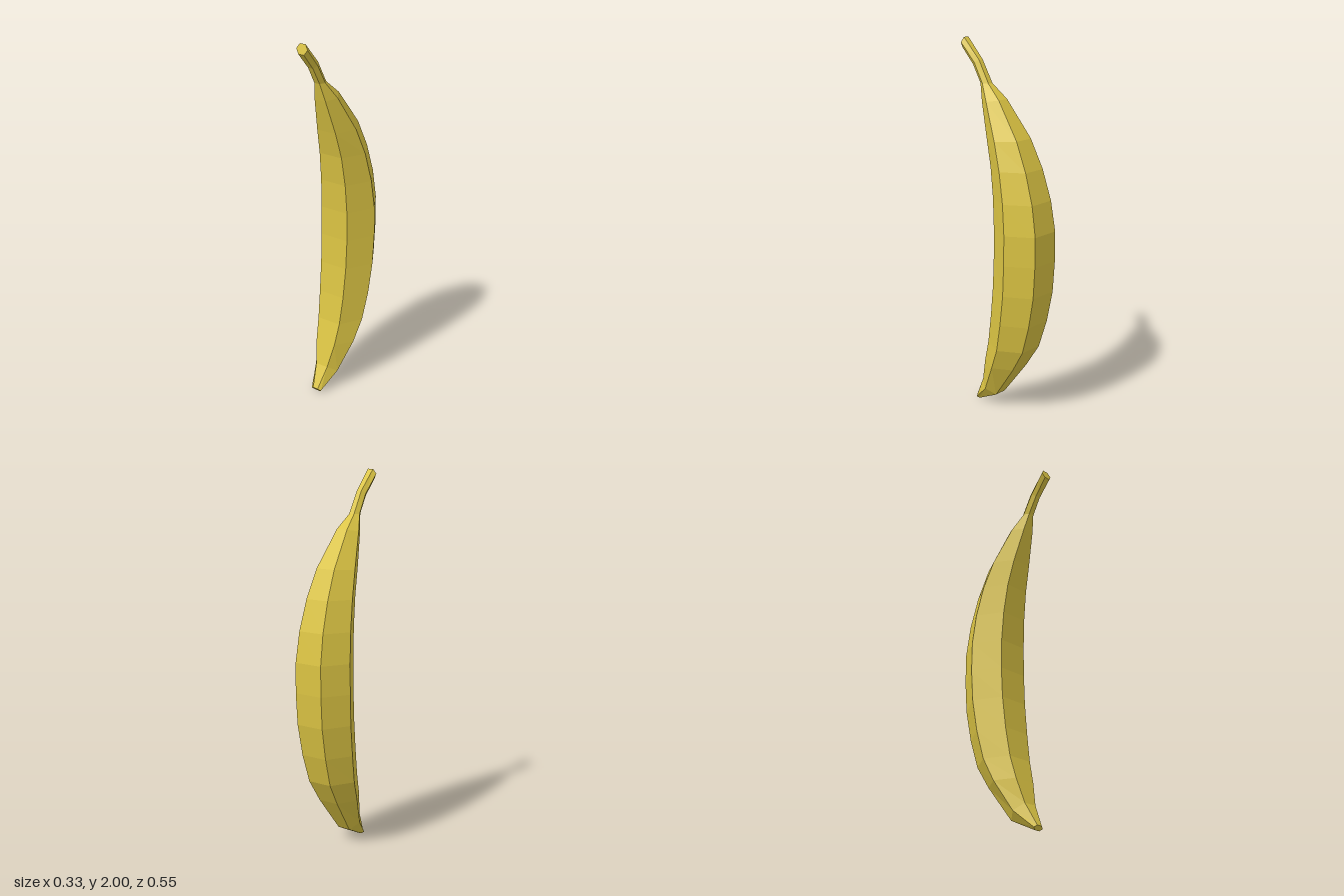
import * as THREE from 'three';

const SIDES = 6;

// Cross-sections from tip to stem: [half width, front z, front y, back z, back y]
const BODY = [
  [0.03, 0.187, 0.022, 0.17, 0.0],
  [0.072, 0.125, 0.14, 0.03, 0.07],
  [0.118, 0.088, 0.27, -0.11, 0.262],
  [0.138, 0.055, 0.39, -0.185, 0.385],
  [0.152, 0.03, 0.545, -0.232, 0.54],
  [0.16, 0.011, 0.715, -0.265, 0.71],
  [0.163, 0.003, 0.88, -0.276, 0.88],
  [0.161, 0.003, 1.04, -0.276, 1.04],
  [0.151, 0.013, 1.2, -0.25, 1.2],
  [0.135, 0.036, 1.36, -0.2, 1.36],
  [0.112, 0.072, 1.5, -0.13, 1.51],
  [0.065, 0.125, 1.68, 0.01, 1.7],
  [0.031, 0.15, 1.775, 0.095, 1.775],
];
const STEM = [
  BODY[BODY.length - 1],
  [0.028, 0.202, 1.865, 0.16, 1.89],
  [0.033, 0.276, 1.95, 0.262, 2.0],
];

// Skins hexagonal sections, optionally closing the lower or upper end
function loft(rings, capLow, capHigh) {
  const pos = [];
  const index = [];
  for (const [r, fz, fy, bz, by] of rings) {
    for (let i = 0; i < SIDES; i++) {
      const a = (i / SIDES) * Math.PI * 2;
      const t = 0.5 + Math.sin(a) / Math.sin(Math.PI / 3) / 2; // 0 back, 1 front
      pos.push(r * Math.cos(a), by + (fy - by) * t, bz + (fz - bz) * t);
    }
  }
  for (let k = 0; k < rings.length - 1; k++) {
    for (let i = 0; i < SIDES; i++) {
      const j = (i + 1) % SIDES;
      const a = k * SIDES + i, b = k * SIDES + j;
      index.push(a, a + SIDES, b + SIDES, a, b + SIDES, b);
    }
  }
  const last = (rings.length - 1) * SIDES;
  for (let i = 1; i < SIDES - 1; i++) {
    if (capLow) index.push(0, i, i + 1);
    if (capHigh) index.push(last, last + i + 1, last + i);
  }
  const indexed = new THREE.BufferGeometry();
  indexed.setAttribute('position', new THREE.Float32BufferAttribute(pos, 3));
  indexed.setIndex(index);
  const geometry = indexed.toNonIndexed();
  geometry.computeVertexNormals(); // one normal per face
  return geometry;
}

export function createModel() {
  const group = new THREE.Group();
  group.name = 'banana';

  const peel = new THREE.MeshStandardMaterial({ color: 0xdbc443 });
  peel.name = 'peel yellow';

  // Curved fruit with its small blunt tip
  const body = new THREE.Mesh(loft(BODY, true, false), peel);
  body.name = 'body';

  // Bent stem with a flat cut end
  const stem = new THREE.Mesh(loft(STEM, false, true), peel);
  stem.name = 'stem';

  group.add(body, stem);
  return group;
}
